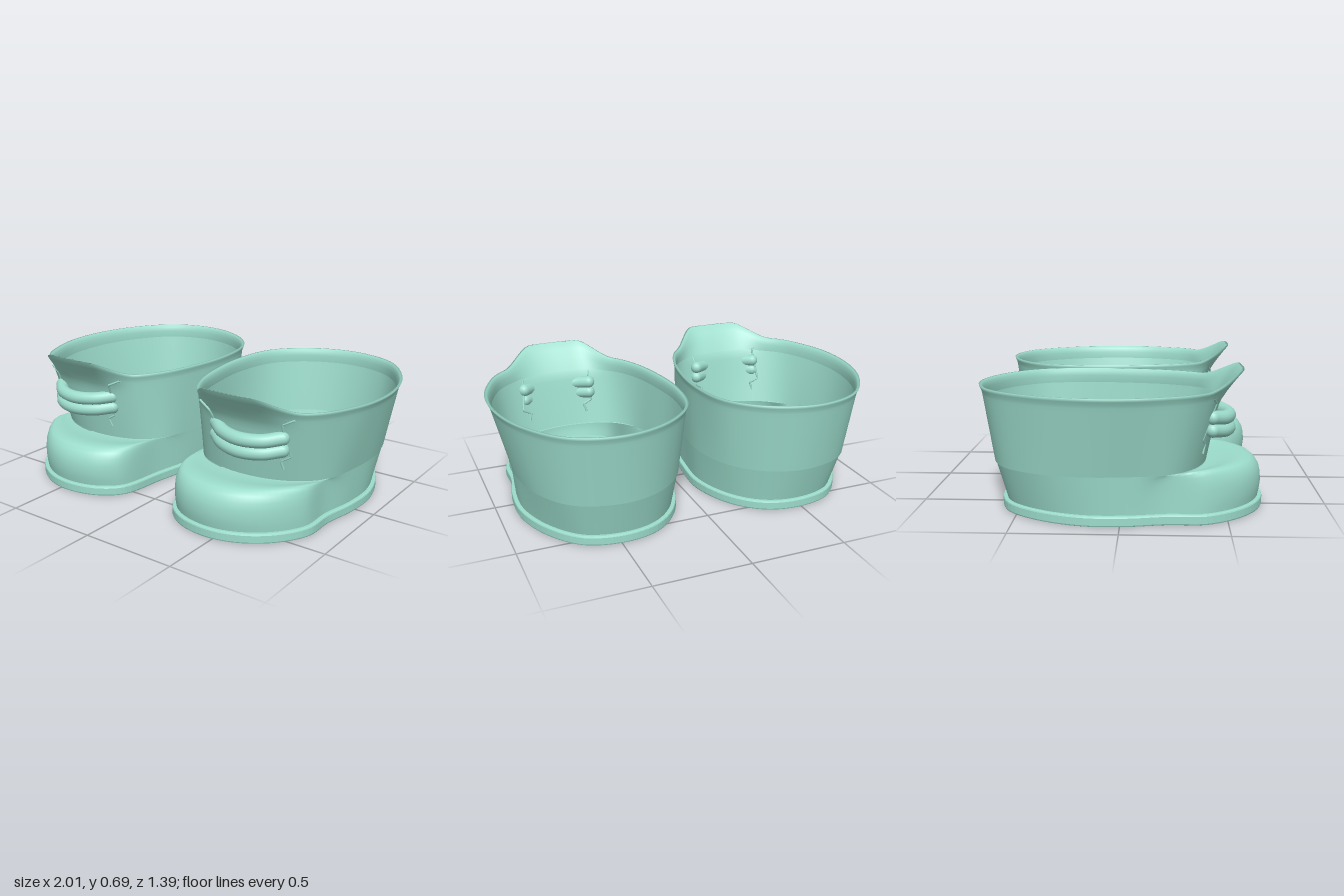
import * as THREE from 'three';

const material = new THREE.MeshStandardMaterial({ color: 0x9cdccb, side: THREE.DoubleSide });
const N = 102; // points around each outline
const { lerp, smoothstep } = THREE.MathUtils;

// Plan outlines of one boot as x, z pairs: heel, outer side, toe, inner side.
const SOLE = [0.48, -0.6, 0.68, -0.55, 0.82, -0.39, 0.9, -0.17, 0.9, 0.03, 0.865, 0.22, 0.855, 0.4, 0.75, 0.56,
  0.6, 0.66, 0.44, 0.69, 0.27, 0.65, 0.16, 0.55, 0.12, 0.3, 0.08, 0.05, 0.07, -0.2, 0.16, -0.43, 0.3, -0.56];
const ANKLE = [0.49, -0.635, 0.72, -0.57, 0.85, -0.4, 0.905, -0.17, 0.895, 0.03, 0.86, 0.2, 0.8, 0.29, 0.7, 0.36,
  0.58, 0.4, 0.45, 0.41, 0.32, 0.39, 0.21, 0.34, 0.13, 0.24, 0.09, 0.05, 0.07, -0.2, 0.14, -0.43, 0.29, -0.58];
const RIM = [0.51, -0.69, 0.75, -0.62, 0.92, -0.4, 0.99, -0.17, 0.99, 0.05, 0.94, 0.22, 0.87, 0.35, 0.76, 0.44,
  0.62, 0.475, 0.47, 0.48, 0.33, 0.465, 0.21, 0.4, 0.125, 0.26, 0.07, 0.05, 0.05, -0.2, 0.1, -0.45, 0.27, -0.62];

// Smooth closed outline, optionally pulled inward
function outline(flat, inset = 0) {
  const pts = [];
  for (let i = 0; i < flat.length; i += 2) pts.push(new THREE.Vector3(flat[i], 0, flat[i + 1]));
  const curve = new THREE.CatmullRomCurve3(pts, true, 'centripetal');
  return Array.from({ length: N }, (_, i) => {
    const p = curve.getPoint(i / N);
    const t = curve.getTangent(i / N);
    return new THREE.Vector3(p.x - t.z * inset, 0, p.z + t.x * inset);
  });
}

const sole = outline(SOLE);
const foot = outline(SOLE, 0.022);
const ankle = outline(ANKLE);
const rim = outline(RIM);

// Skin over closed rings; s = -1 gives the mirrored boot
function loft(rings, s) {
  const pos = [];
  const idx = [];
  rings.forEach((ring) => ring.forEach((p) => pos.push(p.x * s, p.y, p.z)));
  for (let j = 0; j < rings.length - 1; j++) {
    for (let i = 0; i < N; i++) {
      const a = j * N + i;
      const b = j * N + ((i + 1) % N);
      const c = b + N;
      const d = a + N;
      if (s > 0) idx.push(a, c, b, a, d, c);
      else idx.push(a, b, c, a, c, d);
    }
  }
  const geo = new THREE.BufferGeometry();
  geo.setAttribute('position', new THREE.Float32BufferAttribute(pos, 3));
  geo.setIndex(idx);
  geo.computeVertexNormals();
  return geo;
}

// Point on the shaft wall: v runs from ankle to rim, the front flares into a tongue
function wallPoint(i, v, inset = 0) {
  const p = ankle[i].clone().lerp(rim[i], v);
  p.y = lerp(0.235, 0.61, v);
  const r = rim[i];
  const w = r.z > 0.3 ? smoothstep(r.x, 0.2, 0.37) * (1 - smoothstep(r.x, 0.63, 0.82)) : 0;
  const t = Math.max(0, (v - 0.72) / 0.28);
  p.y += w * 0.077 * t * t;
  p.z += w * 0.1 * t * t;
  const lip = 0.008 * smoothstep(v, 0.9, 1) * (1 - w) - inset;
  const dir = new THREE.Vector3(p.x - 0.5, 0, p.z).normalize();
  return p.addScaledVector(dir, lip);
}

// Shaft surface depth at a given front position
function wallZ(x, y) {
  const v = (y - 0.235) / 0.375;
  let best = null;
  for (let i = 0; i < N; i++) {
    const p = wallPoint(i, v);
    if (p.z > 0.2 && (!best || Math.abs(p.x - x) < Math.abs(best.x - x))) best = p;
  }
  return best.z;
}

function buildBoot(s) {
  const boot = new THREE.Group();
  const add = (name, geo, parent = boot) => {
    const mesh = new THREE.Mesh(geo, material);
    mesh.name = name;
    parent.add(mesh);
    return mesh;
  };

  // Flat welt and sole, which is also the floor inside
  const shape = new THREE.Shape(sole.map((p) => new THREE.Vector2(p.x * s, -p.z)));
  const soleGeo = new THREE.ExtrudeGeometry(shape, {
    depth: 0.034, bevelThickness: 0.008, bevelSize: 0.008, bevelOffset: -0.008, bevelSegments: 2,
  });
  add('sole', soleGeo.rotateX(-Math.PI / 2).translate(0, 0.008, 0));

  // Lower body: rounded over the toe, plain taper round the heel
  const toe = [[0, 0.045], [-0.03, 0.08], [-0.05, 0.12], [-0.04, 0.16], [-0.01, 0.195], [0.06, 0.225],
    [0.15, 0.243], [0.27, 0.25], [0.42, 0.249], [0.6, 0.242], [0.8, 0.233], [1, 0.23]];
  const body = toe.map(([f, y], j) => ankle.map((a, i) => {
    const k = j / (toe.length - 1);
    const w = smoothstep(a.z, 0.05, 0.32);
    const p = foot[i].clone().lerp(a, lerp(k, f, w));
    p.y = lerp(lerp(0.045, 0.25, k), y, w);
    return p;
  }));
  add('toeAndHeel', loft(body, s));

  // Flared shaft with a thin folded rim
  const rows = [0, 0.12, 0.25, 0.4, 0.55, 0.68, 0.76, 0.82, 0.88, 0.92, 0.96, 1].map((v) => [v, 0]);
  rows.push([1, 0.012], [0.96, 0.014], [0.9, 0.012], [0.8, 0.004]);
  add('shaft', loft(rows.map(([v, d]) => rim.map((_, i) => wallPoint(i, v, d))), s));

  // Two thick laces with rounded ends that pass through the shaft
  const laces = new THREE.Group();
  laces.name = 'laces';
  boot.add(laces);
  for (const y of [0.405, 0.465]) {
    const pts = [[0.34, 0.01, 0.425], [0.42, -0.002, 0.483], [0.53, -0.006, 0.513], [0.64, -0.002, 0.488], [0.715, 0.01, 0.425]]
      .map(([x, dy, z]) => new THREE.Vector3(x * s, y + dy, z));
    add('lace', new THREE.TubeGeometry(new THREE.CatmullRomCurve3(pts), 32, 0.034, 14), laces);
    for (const p of [pts[0], pts[4]]) {
      add('laceEnd', new THREE.SphereGeometry(0.034, 14, 10), laces).position.copy(p);
    }
  }

  // Jagged seams either side of the laces
  const seams = [
    [[0.26, 0.58], [0.325, 0.55], [0.335, 0.5], [0.33, 0.37], [0.375, 0.345], [0.36, 0.3]],
    [[0.78, 0.575], [0.72, 0.545], [0.72, 0.5], [0.735, 0.37], [0.69, 0.345], [0.7, 0.3]],
  ];
  for (const seam of seams) {
    const path = new THREE.CurvePath();
    const pts = seam.map(([x, y]) => new THREE.Vector3(x * s, y, wallZ(x, y)));
    for (let i = 1; i < pts.length; i++) path.add(new THREE.LineCurve3(pts[i - 1], pts[i]));
    add('seam', new THREE.TubeGeometry(path, 40, 0.006, 6));
  }
  return boot;
}

export function createModel() {
  const model = new THREE.Group();
  model.name = 'bootPair';
  for (const [name, s] of [['leftBoot', 1], ['rightBoot', -1]]) {
    const boot = buildBoot(s);
    boot.name = name;
    model.add(boot);
  }
  return model;
}
